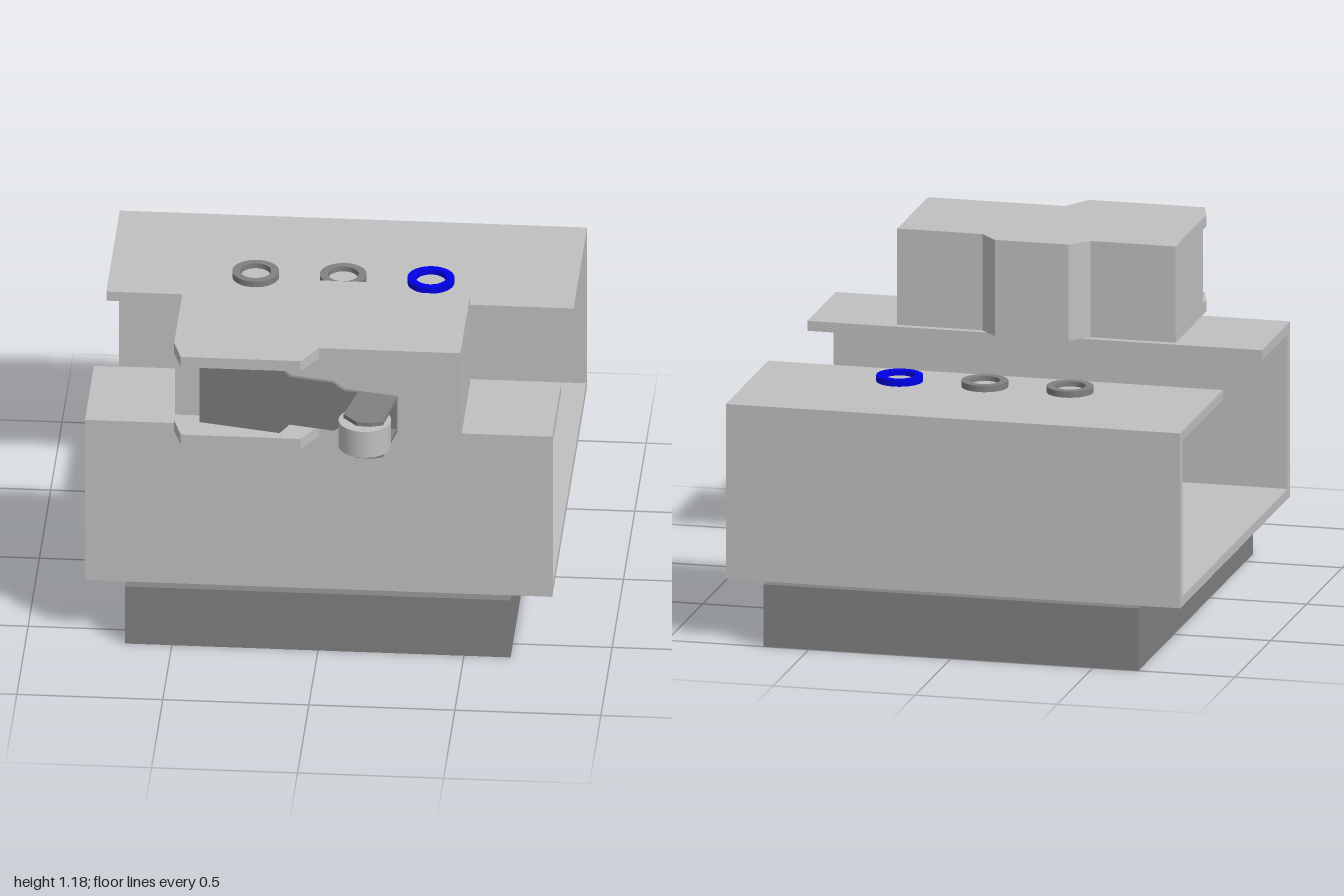
import * as THREE from 'three';

const mat = (name, color, extra = {}) => Object.assign(new THREE.MeshStandardMaterial({ color, ...extra }), { name });

export function createModel() {
  const light = mat('light grey', 0xc0c0c0);
  const dark = mat('dark grey', 0x808080);
  const blue = mat('blue', 0x0000ff);
  const model = new THREE.Group();

  const add = (name, geometry, material, x = 0, y = 0, z = 0, parent = model) => {
    const mesh = new THREE.Mesh(geometry, material);
    mesh.name = name;
    mesh.position.set(x, y, z);
    parent.add(mesh);
    return mesh;
  };
  const shapeOf = pts => new THREE.Shape(pts.map(p => new THREE.Vector2(...p)));
  const extrude = (shape, depth, curveSegments = 24) =>
    new THREE.ExtrudeGeometry(shape, { depth, bevelEnabled: false, curveSegments });
  // Horizontal slab with a plan outline in (x, z), between heights y0 and y1
  const slab = (name, pts, y0, y1, material, parent) =>
    add(name, extrude(shapeOf(pts), y1 - y0).rotateX(Math.PI / 2), material, 0, y1, 0, parent);

  // Base block
  add('base', new THREE.BoxGeometry(1.32, 0.22, 1.6), dark, 0, 0.11, -0.2);

  // Folded channel with two top lips: outline in (-z, y), swept along x
  const t = 0.035, f = -0.567, b = 0.97, y0 = 0.222, y1 = 0.84;
  const channel = shapeOf([
    [f, y0], [b, y0], [b, y1], [0.375, y1], [0.375, y1 - t], [b - t, y1 - t], [b - t, y0 + t],
    [f + t, y0 + t], [f + t, y1 - t], [-0.17, y1 - t], [-0.17, y1], [f, y1],
  ]);
  add('channel', extrude(channel, 1.6).rotateY(Math.PI / 2), light, -0.8, 0, 0);

  // Switch housing: recessed core between two projecting cheeks
  const housing = new THREE.Group();
  housing.name = 'switchHousing';
  model.add(housing);
  const back = [[-0.49, 0.195], [-0.19, 0.195], [-0.13, 0.13], [0.13, 0.13], [0.19, 0.195], [0.49, 0.195], [0.49, 0.625]];
  const cheek = [...back, [0.005, 0.625], [-0.05, 0.725], [-0.46, 0.725], [-0.49, 0.625]];
  const core = [...back, [0.13, 0.625], [0.13, 0.58], [-0.49, 0.58]];
  slab('lowerCheek', cheek, 0.84, 0.88, light, housing);
  slab('housingCore', core, 0.88, 1.14, light, housing);
  slab('upperCheek', cheek, 1.14, 1.18, light, housing);

  // Tapered lever strip, hinged at the housing's right end
  const mid = 1.01;
  const half = [[0, 0.13], [0.285, 0.13], [0.32, 0.092], [0.475, 0.092], [0.515, 0.068], [0.7, 0.068]];
  const leverShape = shapeOf([...half, ...half.map(([x, y]) => [x, -y]).reverse()]);
  const lever = add('lever', extrude(leverShape, 0.014), dark, -0.4, mid, 0.615);
  lever.rotation.y = -0.21;

  // Roller fork and roller
  const fork = [[0.15, 0.738], [0.285, 0.768], [0.25, 0.955], [0.21, 0.968], [0.16, 0.965], [0.112, 0.91]];
  slab('lowerForkPlate', fork, 0.942, 0.957, dark);
  slab('upperForkPlate', fork, 1.065, 1.08, dark);
  add('roller', new THREE.CylinderGeometry(0.09, 0.09, 0.1, 40), light, 0.185, mid, 0.908);
  add('rollerPin', new THREE.CylinderGeometry(0.02, 0.02, 0.12, 16), dark, 0.185, mid, 0.908);

  // Three indicators: collar on the back lip, stem hanging below
  const ring = new THREE.Shape().absarc(0, 0, 0.08, 0, Math.PI * 2);
  ring.holes.push(new THREE.Path().absarc(0, 0, 0.053, 0, Math.PI * 2, true));
  const ringGeo = extrude(ring, 0.022).rotateX(-Math.PI / 2);
  const stemGeo = new THREE.CylinderGeometry(0.05, 0.05, 0.165, 32);
  [-0.3, 0, 0.3].forEach((x, i) => {
    const indicator = new THREE.Group();
    indicator.name = 'indicator' + (i + 1);
    indicator.position.set(x, 0, -0.525);
    model.add(indicator);
    add('collar', ringGeo, i === 2 ? blue : dark, 0, 0.84, 0, indicator);
    add('stem', stemGeo, light, 0, 0.763, 0, indicator);
  });
  return model;
}
